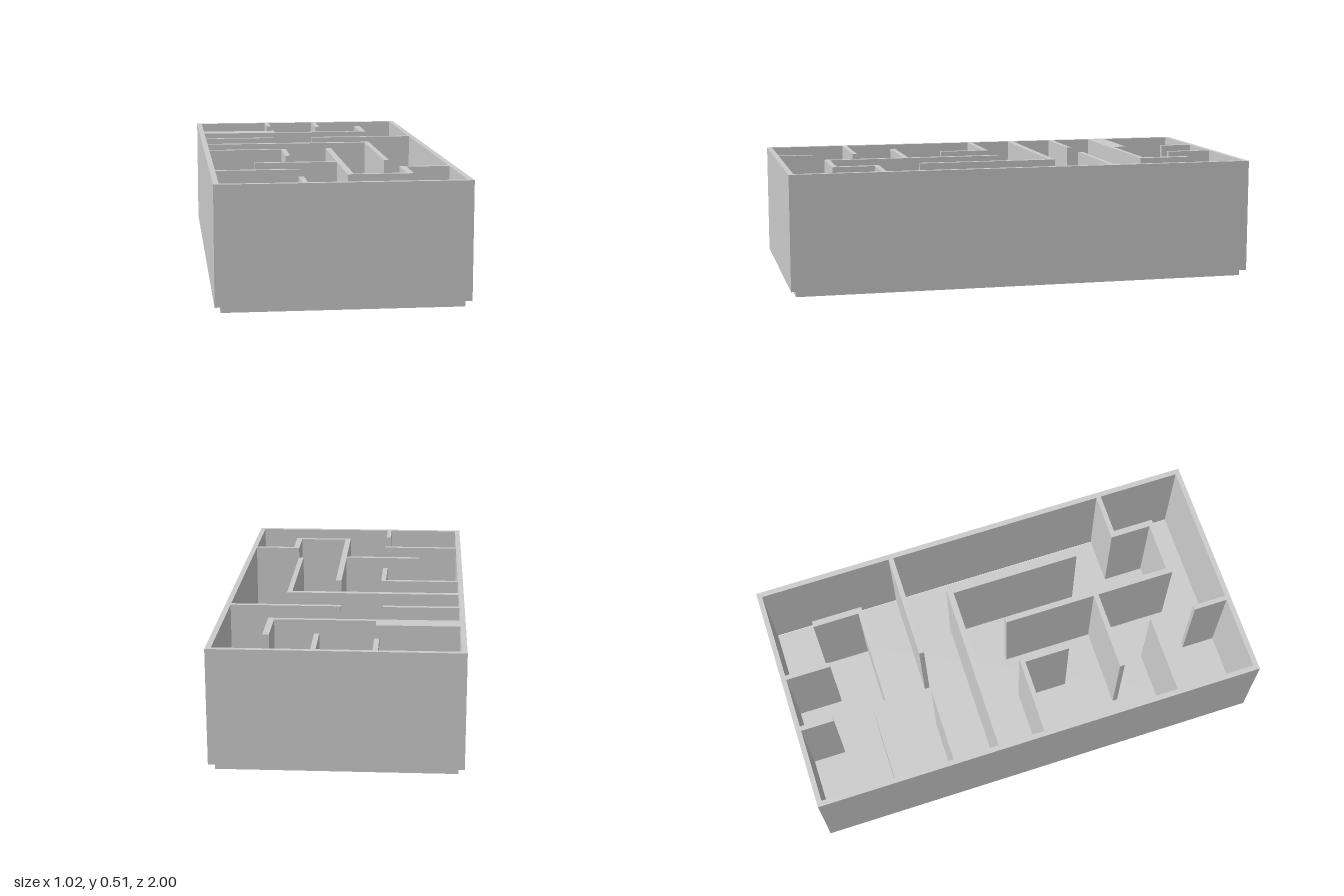
import * as THREE from 'three';

const TOP = 0.512, FLOOR = 0.027;   // wall top and floor level
const W = 0.511, D = 1;             // outer half width and half depth
const X = 0.488, Z = 0.978;         // inner half width and half depth

// Inner outline of the walls, walked clockwise as seen from above, one wall at a time
function roomOutline() {
  const backWall = [
    [-X, -Z], [-0.164, -Z], [-0.164, -0.833], [-0.143, -0.833], [-0.143, -Z],
    [0.079, -Z], [0.079, -0.78], [0.1, -0.78], [0.1, -Z], [X, -Z],
  ];
  const rightSide = [
    // short straight partition
    [X, -0.393], [0.016, -0.393], [0.016, -0.371], [X, -0.371],
    // stepped partition with a long spine and a side branch
    [X, 0.594], [0.28, 0.594], [0.28, 0.775], [0.063, 0.775], [0.063, 0.016],
    [0.037, 0.016], [0.037, 0.424], [-0.312, 0.424], [-0.312, 0.446], [0.037, 0.446],
    [0.037, 0.796], [0.307, 0.796], [0.307, 0.615], [X, 0.615],
  ];
  const frontWall = [
    [X, Z], [-0.143, Z], [-0.143, 0.828], [-0.164, 0.828], [-0.164, Z], [-X, Z],
  ];
  const leftSide = [
    // straight partition
    [-X, 0.647], [-0.143, 0.647], [-0.143, 0.626], [-X, 0.626],
    // short L
    [-X, 0.037], [-0.164, 0.037], [-0.164, 0.239], [-0.143, 0.239], [-0.143, 0.016], [-X, 0.016],
    // long L
    [-X, -0.164], [0.243, -0.164], [0.243, 0.414], [0.265, 0.414], [0.265, -0.191], [-X, -0.191],
    // straight partition
    [-X, -0.371], [-0.164, -0.371], [-0.164, -0.393], [-X, -0.393],
    // thick partition with a raised end
    [-X, -0.573], [0.307, -0.573], [0.307, -0.8], [0.28, -0.8], [0.28, -0.594],
    [-0.143, -0.594], [-0.143, -0.655], [-X, -0.655],
  ];
  return [...backWall, ...rightSide, ...frontWall, ...leftSide];
}

const toPoints = (list) => list.map(([x, z]) => new THREE.Vector2(x, z));

export function createModel() {
  const model = new THREE.Group();
  model.name = 'floorPlan';
  const material = new THREE.MeshStandardMaterial({ color: 0xcccccc, flatShading: true });

  // Outer shell and partitions in one extruded footprint
  const footprint = new THREE.Shape(toPoints([[-W, -D], [W, -D], [W, D], [-W, D]]));
  footprint.holes.push(new THREE.Path(toPoints(roomOutline())));
  const wallGeometry = new THREE.ExtrudeGeometry(footprint, { depth: TOP - FLOOR, bevelEnabled: false });
  wallGeometry.rotateX(Math.PI / 2).translate(0, TOP, 0);
  const walls = new THREE.Mesh(wallGeometry, material);
  walls.name = 'walls';
  model.add(walls);

  // Floor slab, standing slightly below the walls
  const floor = new THREE.Mesh(new THREE.BoxGeometry(2 * X - 0.003, FLOOR, 2 * Z), material);
  floor.name = 'floorSlab';
  floor.position.y = FLOOR / 2;
  model.add(floor);

  return model;
}
